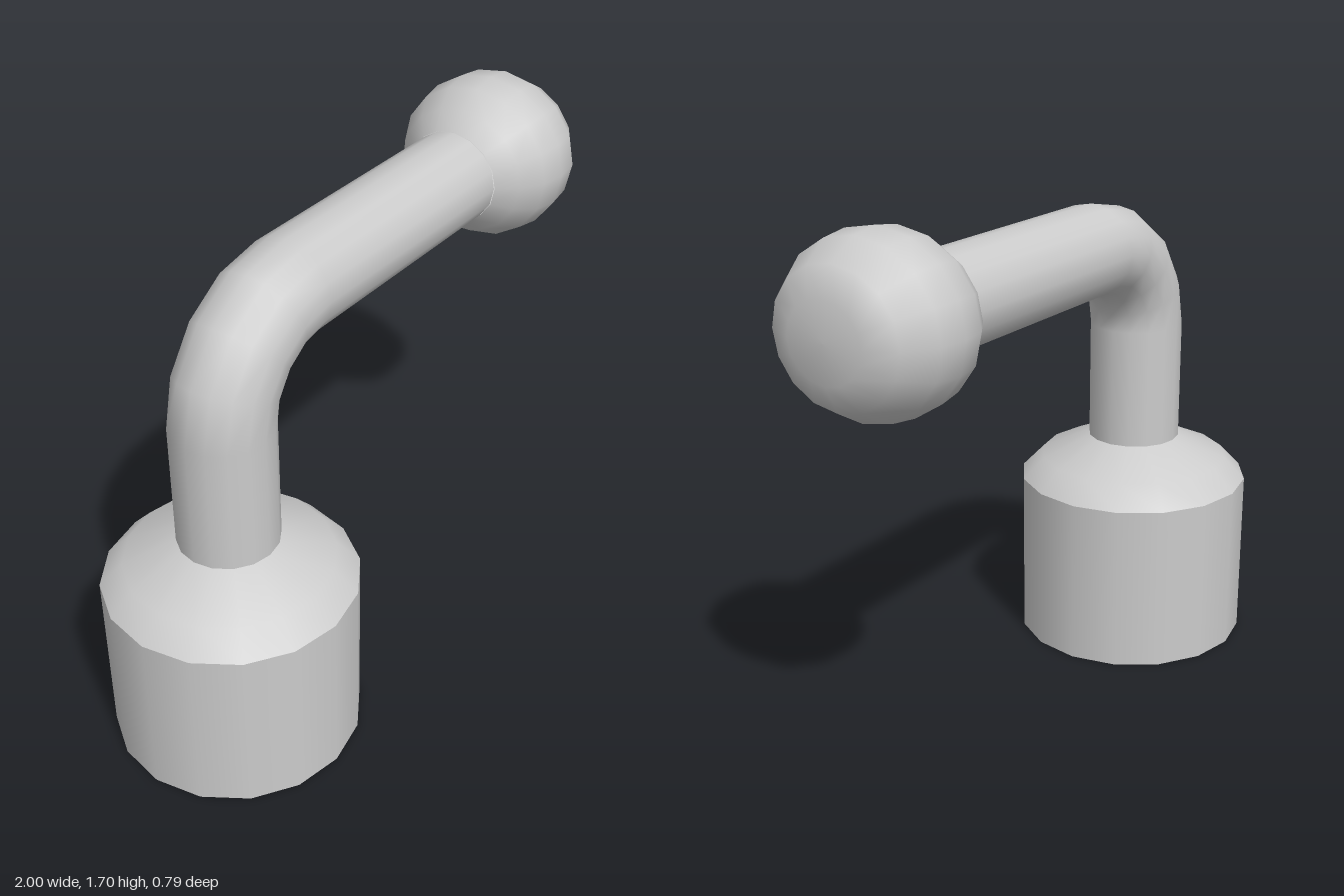
import * as THREE from 'three';

const SIDES = 16;
const material = new THREE.MeshStandardMaterial({ color: 0xcccccc, side: THREE.DoubleSide });

function lathe(points) {
  return new THREE.LatheGeometry(points.map(([r, y]) => new THREE.Vector2(r, y)), SIDES);
}

// Bends an open cylinder along stations running from the arm's end down to the base
function bentPipe(stations) {
  const rows = stations.length - 1;
  const geometry = new THREE.CylinderGeometry(1, 1, 1, SIDES, rows, true);
  const { position, normal } = geometry.attributes;
  for (let i = 0; i < position.count; i++) {
    const row = Math.round((0.5 - position.getY(i)) * rows);
    const { x, y, angle } = stations[row];
    const u = position.getX(i), w = position.getZ(i);
    const cos = Math.cos(angle), sin = Math.sin(angle);
    const r = 0.158 - 0.008 * sin;
    position.setXYZ(i, x + u * r * cos, y - u * r * sin, w * 0.158);
    normal.setXYZ(i, u * cos, -u * sin, w);
  }
  return geometry;
}

export function createModel() {
  const group = new THREE.Group();
  const add = (name, geometry, x = 0, y = 0) => {
    const mesh = new THREE.Mesh(geometry, material);
    mesh.name = name;
    mesh.position.set(x, y, 0);
    group.add(mesh);
    return mesh;
  };

  // Hollow base, open underneath, with a rounded shoulder
  const baseX = -0.603;
  add('baseWall', lathe([[0.397, 0], [0.397, 0.57]]), baseX);
  add('baseShoulder', lathe([[0.397, 0.57], [0.325, 0.645], [0.158, 0.72]]), baseX);

  // Pipe: horizontal arm, four-step elbow, upright
  const stations = [{ x: 0.56, y: 1.433, angle: Math.PI / 2 }];
  const bend = 0.308, bendX = -0.295, bendY = 1.125;
  for (let i = 4; i >= 0; i--) {
    const angle = (i / 4) * Math.PI / 2;
    stations.push({
      x: bendX - bend * Math.cos(angle),
      y: bendY + bend * Math.sin(angle),
      angle,
    });
  }
  stations.push({ x: baseX, y: 0.72, angle: 0 });
  add('pipe', bentPipe(stations));

  // Knob at the arm's end, slightly flattened at the tip
  const knob = lathe([
    [0.15, -0.21], [0.207, -0.16], [0.253, -0.085], [0.266, 0],
    [0.255, 0.09], [0.2, 0.185], [0.116, 0.228], [0, 0.23],
  ]);
  knob.rotateZ(-Math.PI / 2);
  add('knob', knob, 0.77, 1.434).scale.z = 1.07;

  return group;
}
